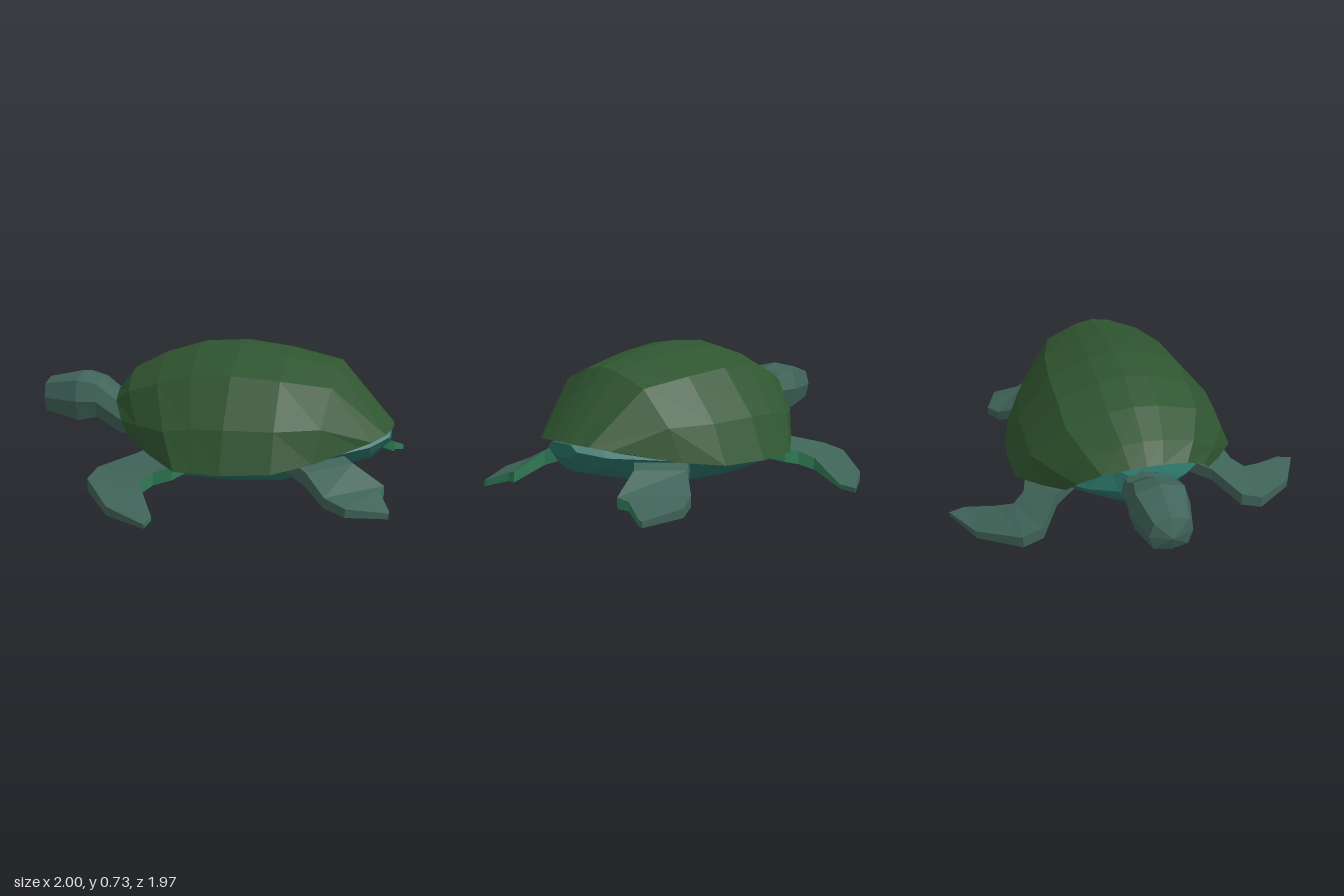
import * as THREE from 'three';

const mat = (color, side = THREE.FrontSide) =>
  new THREE.MeshStandardMaterial({ color, flatShading: true, side });
const SHELL = mat(0x2f5530, THREE.DoubleSide);
const SKIN = mat(0x3f6358);
const UNDER = mat(0x2f7a55);
const BELLY = mat(0x2a7065);

// Faceted skin through a row of cross-sections, each a list of [x, y, z]
function loft(name, rings, material, closed = true) {
  const pos = [];
  const tri = (...p) => {
    const [a, b, c] = p.map((q) => new THREE.Vector3(...q));
    if (new THREE.Triangle(a, b, c).getArea() > 1e-7) pos.push(...p.flat());
  };
  for (let i = 0; i < rings.length - 1; i++) {
    const r = rings[i], s = rings[i + 1], n = r.length;
    for (let j = 0; j < (closed ? n : n - 1); j++) {
      const k = (j + 1) % n;
      tri(r[j], r[k], s[k]);
      tri(r[j], s[k], s[j]);
    }
  }
  const g = new THREE.BufferGeometry();
  g.setAttribute('position', new THREE.Float32BufferAttribute(pos, 3));
  g.computeVertexNormals();
  const mesh = new THREE.Mesh(g, material);
  mesh.name = name;
  return mesh;
}

// A ring squeezed to its centre, to close an end
function collapse(ring) {
  const c = [0, 1, 2].map((k) => ring.reduce((s, p) => s + p[k], 0) / ring.length);
  return ring.map(() => c);
}

function makeShell() {
  const group = new THREE.Group();
  group.name = 'shell';
  // xTop, yTop, xRim, yRim, half width
  const stations = [
    [-0.53, 0.46, -0.375, 0.27, 0.39],
    [-0.45, 0.56, -0.25, 0.225, 0.49],
    [-0.27, 0.655, -0.08, 0.18, 0.61],
    [-0.07, 0.72, 0.03, 0.18, 0.615],
    [0.16, 0.738, 0.16, 0.18, 0.62],
    [0.41, 0.71, 0.41, 0.19, 0.575],
    [0.68, 0.655, 0.6, 0.22, 0.46],
    [0.97, 0.32, 0.82, 0.275, 0.29],
  ];
  // Dome profile: [fraction of width, fraction of height]
  const half = [[1, 0], [0.87, 0.38], [0.58, 0.8], [0.22, 0.96]];
  const dome = [
    ...half.map(([w, h]) => [-w, h]), [0, 1], ...half.slice().reverse(),
  ];
  const rings = stations.map(([xt, yt, xr, yr, w]) =>
    dome.map(([f, h]) => [xr + (xt - xr) * h, yr + (yt - yr) * h, f * w]));
  group.add(loft('carapace', rings, SHELL, false));

  // Lip turning inward under the rim
  const mid = rings.slice(1, -1);
  const rim = [
    ...rings[0], ...mid.map((r) => r[r.length - 1]),
    ...rings[rings.length - 1].slice().reverse(), ...mid.map((r) => r[0]).reverse(),
  ];
  const inner = rim.map(([x, y, z]) => [0.2 + (x - 0.2) * 0.85, y + 0.012, z * 0.85]);
  group.add(loft('shellLip', [rim, inner], SHELL));
  return group;
}

function makeBody() {
  // x, yBottom, yMiddle, yTop, half width
  const stations = [
    [-0.47, 0.18, 0.28, 0.37, 0.13],
    [-0.36, 0.13, 0.24, 0.38, 0.27],
    [-0.08, 0.01, 0.18, 0.4, 0.53],
    [0.16, 0.01, 0.18, 0.4, 0.54],
    [0.41, 0.02, 0.19, 0.4, 0.49],
    [0.62, 0.08, 0.22, 0.38, 0.37],
    [0.86, 0.15, 0.25, 0.32, 0.21],
    [0.955, 0.24, 0.28, 0.31, 0.1],
  ];
  const rings = stations.map(([x, b, m, t, w]) => {
    const low = (f, h) => [x, m + (b - m) * h, f * w];
    return [
      low(-1, 0), [x, t, -0.6 * w], [x, t, 0.6 * w], low(1, 0),
      low(0.7, 0.6), low(0.4, 0.92), low(0, 1), low(-0.4, 0.92), low(-0.7, 0.6),
    ];
  });
  return loft('belly',
    [collapse(rings[0]), ...rings, collapse(rings[rings.length - 1])], BELLY);
}

function makeHead() {
  // x, yBottom, yTop, half width
  const stations = [
    [-0.96, 0.28, 0.475, 0.11],
    [-0.76, 0.235, 0.522, 0.158],
    [-0.655, 0.26, 0.495, 0.132],
    [-0.52, 0.18, 0.39, 0.122],
    [-0.38, 0.17, 0.36, 0.12],
  ];
  const rings = stations.map(([x, b, t, w]) => {
    const ring = [];
    for (let i = 0; i < 8; i++) {
      const a = (i * Math.PI) / 4;
      const k = i % 2 ? 1.12 : 1; // fuller diagonals
      ring.push([x, (b + t) / 2 + Math.cos(a) * k * (t - b) / 2, Math.sin(a) * k * w]);
    }
    return ring;
  });
  const nose = rings[0].map(() => [-1, 0.375, 0]);
  return loft('headAndNeck', [nose, ...rings], SKIN);
}

// Flipper sections: leading [x, y, z], trailing [x, y, z], thickness
function makeFlipper(name, sections, side) {
  const group = new THREE.Group();
  group.name = name;
  const rings = sections.map(([lead, trail, t]) => {
    const at = ([x, y, z], s) => [x, y + (s * t) / 2, z * side];
    return [at(trail, 1), at(lead, 1), at(lead, -1), at(trail, -1)];
  });
  rings.push(collapse(rings[rings.length - 1]));
  const part = (label, order, m) => {
    const o = side > 0 ? order : order.slice().reverse();
    group.add(loft(label, rings.map((r) => o.map((i) => r[i])), m, false));
  };
  part('flipperTop', [0, 1, 2], SKIN);
  part('flipperUnderside', [2, 3, 0], UNDER);
  return group;
}

const FRONT = [
  [[-0.2, 0.2, 0.28], [0.0, 0.19, 0.42], 0.08],
  [[-0.32, 0.17, 0.43], [-0.1, 0.15, 0.56], 0.07],
  [[-0.5, 0.115, 0.54], [-0.19, 0.125, 0.585], 0.07],
  [[-0.52, 0.09, 0.65], [-0.24, 0.095, 0.65], 0.065],
  [[-0.345, 0.045, 0.87], [-0.19, 0.07, 0.75], 0.045],
  [[-0.12, 0.03, 0.985], [-0.108, 0.04, 0.9], 0.022],
];
const REAR = [
  [[0.42, 0.2, 0.36], [0.66, 0.21, 0.2], 0.08],
  [[0.57, 0.14, 0.465], [0.79, 0.16, 0.32], 0.075],
  [[0.68, 0.07, 0.585], [0.955, 0.08, 0.37], 0.055],
  [[0.79, 0.045, 0.635], [0.94, 0.07, 0.43], 0.045],
  [[0.995, 0.022, 0.565], [0.995, 0.028, 0.545], 0.03],
];

export function createModel() {
  const model = new THREE.Group();
  model.name = 'turtle';
  model.add(makeShell(), makeBody(), makeHead());
  for (const side of [1, -1]) {
    const tag = side > 0 ? 'A' : 'B';
    model.add(makeFlipper('frontFlipper' + tag, FRONT, side));
    model.add(makeFlipper('rearFlipper' + tag, REAR, side));
  }
  return model;
}
